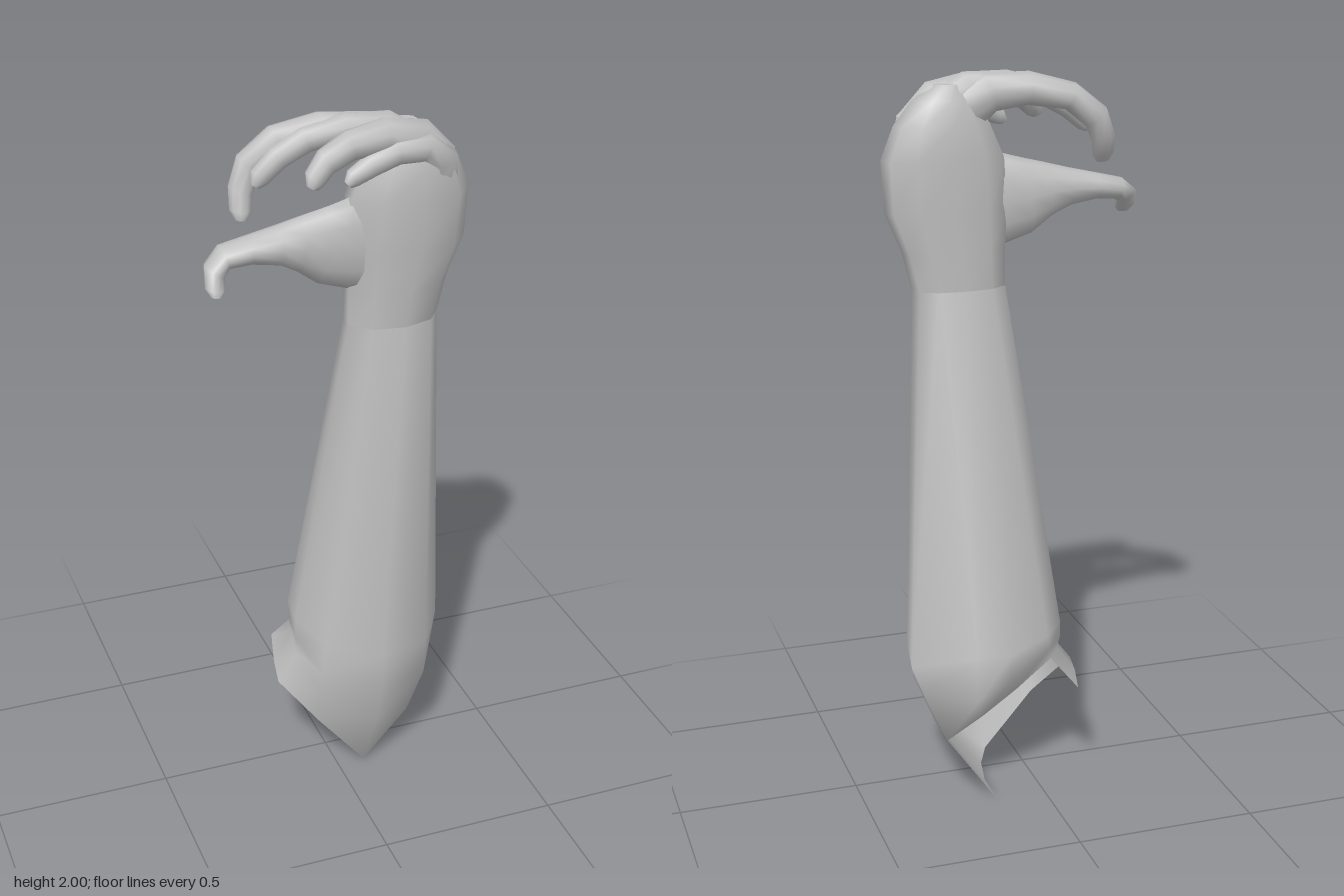
import * as THREE from 'three';

// Skins a stack of closed rings (arrays of Vector3). Quads for which isGap(row, column)
// holds are left out; the ends are capped on request.
function skin(rings, capStart, capEnd, isGap = () => false) {
  const n = rings[0].length, pos = [], idx = [];
  rings.forEach(r => r.forEach(p => pos.push(p.x, p.y, p.z)));
  for (let i = 0; i < rings.length - 1; i++) {
    for (let j = 0; j < n; j++) {
      if (isGap(i, j)) continue;
      const a = i * n + j, b = i * n + (j + 1) % n, c = a + n, d = b + n;
      idx.push(a, c, b, b, c, d);
    }
  }
  const cap = (points, flip) => {
    const base = pos.length / 3;
    const mid = points.reduce((s, p) => s.add(p), new THREE.Vector3()).divideScalar(n);
    [mid, ...points].forEach(p => pos.push(p.x, p.y, p.z));
    for (let j = 0; j < n; j++) {
      const a = base + 1 + j, b = base + 1 + (j + 1) % n;
      idx.push(base, flip ? a : b, flip ? b : a);
    }
  };
  if (capStart) cap(rings[0], true);
  if (capEnd) cap(rings[rings.length - 1], false);
  const g = new THREE.BufferGeometry();
  g.setAttribute('position', new THREE.Float32BufferAttribute(pos, 3));
  g.setIndex(idx);
  g.computeVertexNormals();
  return g;
}

// Elliptical digit along a path; each section is [x, y, z, radius in xy, radius in z].
function digit(sections, sides = 10) {
  const at = i => sections[Math.max(0, Math.min(sections.length - 1, i))];
  return skin(sections.map(([x, y, z, r, rz], i) => {
    const p = at(i - 1), q = at(i + 1);
    const across = new THREE.Vector3(q[1] - p[1], p[0] - q[0], 0).normalize();
    return Array.from({ length: sides }, (_, j) => {
      const a = j / sides * Math.PI * 2;
      return new THREE.Vector3(x, y, z)
        .addScaledVector(across, Math.cos(a) * r)
        .add(new THREE.Vector3(0, 0, Math.sin(a) * rz));
    });
  }), true, true);
}

const ring = pts => pts.map(p => new THREE.Vector3(...p));

export function createModel() {
  const group = new THREE.Group();
  const grey = new THREE.MeshStandardMaterial({ color: 0xbfbfbf, side: THREE.DoubleSide });
  grey.name = 'plain grey';
  const add = (name, geometry) => {
    const mesh = new THREE.Mesh(geometry, grey);
    mesh.name = name;
    group.add(mesh);
  };

  // Rings run from the back right corner, round the front, to the back
  const cut = ring([
    [.14, 0, -.2], [.14, 0, -.08], [.12, 0, .02], [.08, 0, .11], [-.06, .17, .1],
    [-.16, .29, .04], [-.14, .295, -.06], [-.105, .3, -.185], [-.02, .19, -.19], [.06, .09, -.195]]);
  const crease = ring([
    [.27, .18, -.155], [.27, .18, -.02], [.22, .14, .1], [.1, .17, .16], [-.06, .28, .13],
    [-.1, .37, .03], [-.08, .38, -.07], [-.035, .385, -.15], [.07, .31, -.16], [.17, .245, -.165]]);
  const bulge = ring([
    [.33, .32, -.137], [.32, .31, .02], [.25, .3, .15], [.1, .33, .205], [-.06, .36, .14],
    [-.1, .42, .02], [-.083, .42, -.09], [-.03, .42, -.16], [.1, .36, -.205], [.2, .31, -.215]]);
  const elbow = ring([
    [.36, .4, -.12], [.335, .42, .03], [.25, .42, .16], [.1, .42, .203], [-.05, .45, .14],
    [-.1, .48, .02], [-.08, .47, -.1], [-.02, .46, -.165], [.1, .44, -.215], [.2, .44, -.218]]);
  const wrist = ring([
    [.28, 1.42, .03], [.29, 1.42, .075], [.25, 1.42, .13], [.17, 1.42, .155], [.08, 1.42, .14],
    [.03, 1.42, .09], [.035, 1.42, .04], [.08, 1.42, .01], [.15, 1.42, 0], [.23, 1.42, .005]]);

  // Hollow forearm, cut open below the bent elbow and across the back of the stub
  add('forearm', skin([cut, crease, bulge, elbow, wrist], false, false,
    (row, column) => row === 0 && column >= 7 && column <= 9));

  // Palm: the wrist outline carried up, widening and then narrowing to the knuckles
  const palm = [
    [.16, 1.42, .078, .13, .078], [.172, 1.52, .08, .142, .08], [.19, 1.63, .085, .168, .086],
    [.197, 1.77, .09, .168, .092], [.198, 1.86, .093, .13, .088], [.19, 1.925, .095, .085, .07],
    [.18, 1.965, .092, .035, .04]];
  add('palm', skin(palm.map(([x, y, z, rx, rz]) => wrist.map(p =>
    new THREE.Vector3(x + (p.x - .16) / .13 * rx, y, z + (p.z - .078) / .078 * rz))), false, true));

  // Thumb with a wide web at its root
  add('thumb', digit([
    [.16, 1.65, .085, .13, .04], [.03, 1.65, .085, .125, .05], [-.04, 1.655, .085, .105, .052],
    [-.1, 1.668, .085, .076, .052], [-.16, 1.672, .085, .053, .05], [-.24, 1.67, .085, .036, .047],
    [-.305, 1.66, .083, .031, .046], [-.338, 1.635, .105, .03, .038], [-.345, 1.6, .135, .027, .027],
    [-.346, 1.584, .148, .016, .016]], 12));

  // Four curled fingers
  const fingers = {
    indexFinger: [
      [.17, 1.87, .08, .07, .045], [.07, 1.94, .065, .055, .05], [-.03, 1.95, .04, .045, .048],
      [-.14, 1.928, .015, .038, .043], [-.212, 1.87, .01, .038, .038], [-.238, 1.81, .022, .034, .034],
      [-.246, 1.765, .045, .03, .03], [-.248, 1.743, .055, .017, .018]],
    middleFinger: [
      [.22, 1.87, .09, .065, .05], [.12, 1.95, .085, .048, .045], [.02, 1.96, .075, .036, .04],
      [-.08, 1.935, .062, .034, .036], [-.15, 1.895, .057, .032, .033], [-.2, 1.85, .06, .028, .028],
      [-.212, 1.83, .064, .013, .014]],
    ringFinger: [
      [.26, 1.84, .1, .07, .05], [.2, 1.92, .11, .058, .06], [.11, 1.945, .125, .045, .053],
      [.01, 1.935, .142, .038, .044], [-.06, 1.91, .165, .034, .038], [-.097, 1.875, .183, .029, .031],
      [-.106, 1.856, .19, .015, .017]],
    littleFinger: [
      [.27, 1.78, .095, .06, .05], [.265, 1.86, .12, .05, .055], [.21, 1.91, .145, .04, .048],
      [.13, 1.91, .158, .034, .036], [.06, 1.885, .165, .03, .031], [.01, 1.86, .17, .024, .025],
      [-.005, 1.845, .174, .012, .013]],
  };
  for (const [name, sections] of Object.entries(fingers)) add(name, digit(sections));

  return group;
}
